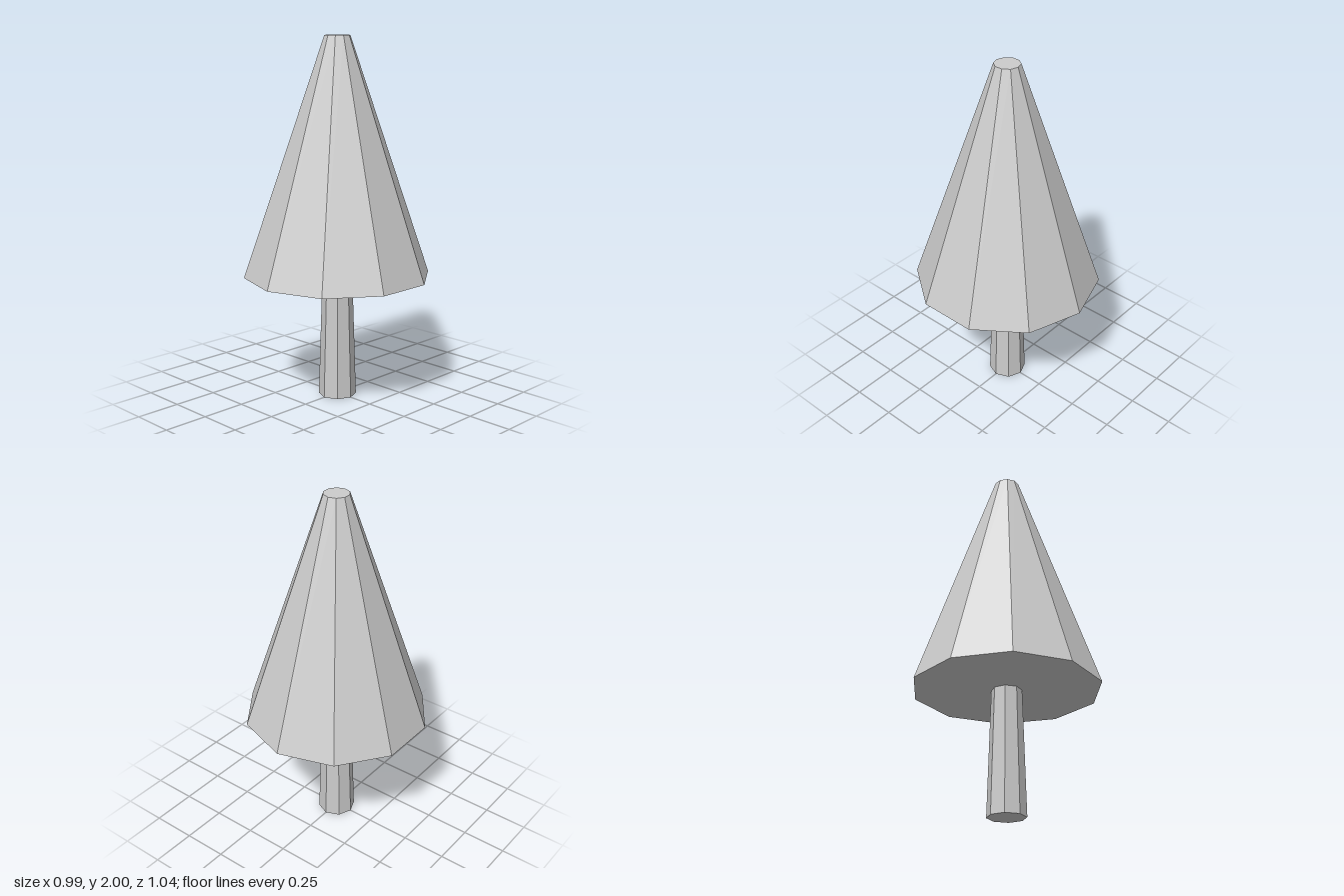
import * as THREE from 'three';

const material = new THREE.MeshStandardMaterial({ color: 0xcccccc, flatShading: true });

// Upright faceted frustum spanning y0..y1
function frustum(name, rTop, rBottom, y0, y1, sides) {
  const geometry = new THREE.CylinderGeometry(rTop, rBottom, y1 - y0, sides);
  geometry.translate(0, (y0 + y1) / 2, 0);
  const mesh = new THREE.Mesh(geometry, material);
  mesh.name = name;
  return mesh;
}

export function createModel() {
  const tree = new THREE.Group();
  tree.name = 'tree';
  // Tapered eight-sided trunk
  tree.add(frustum('trunk', 0.083, 0.105, 0, 0.695, 8));
  // Ten-sided foliage cone with a blunt tip
  tree.add(frustum('foliage', 0.07, 0.518, 0.692, 2, 10));
  return tree;
}
